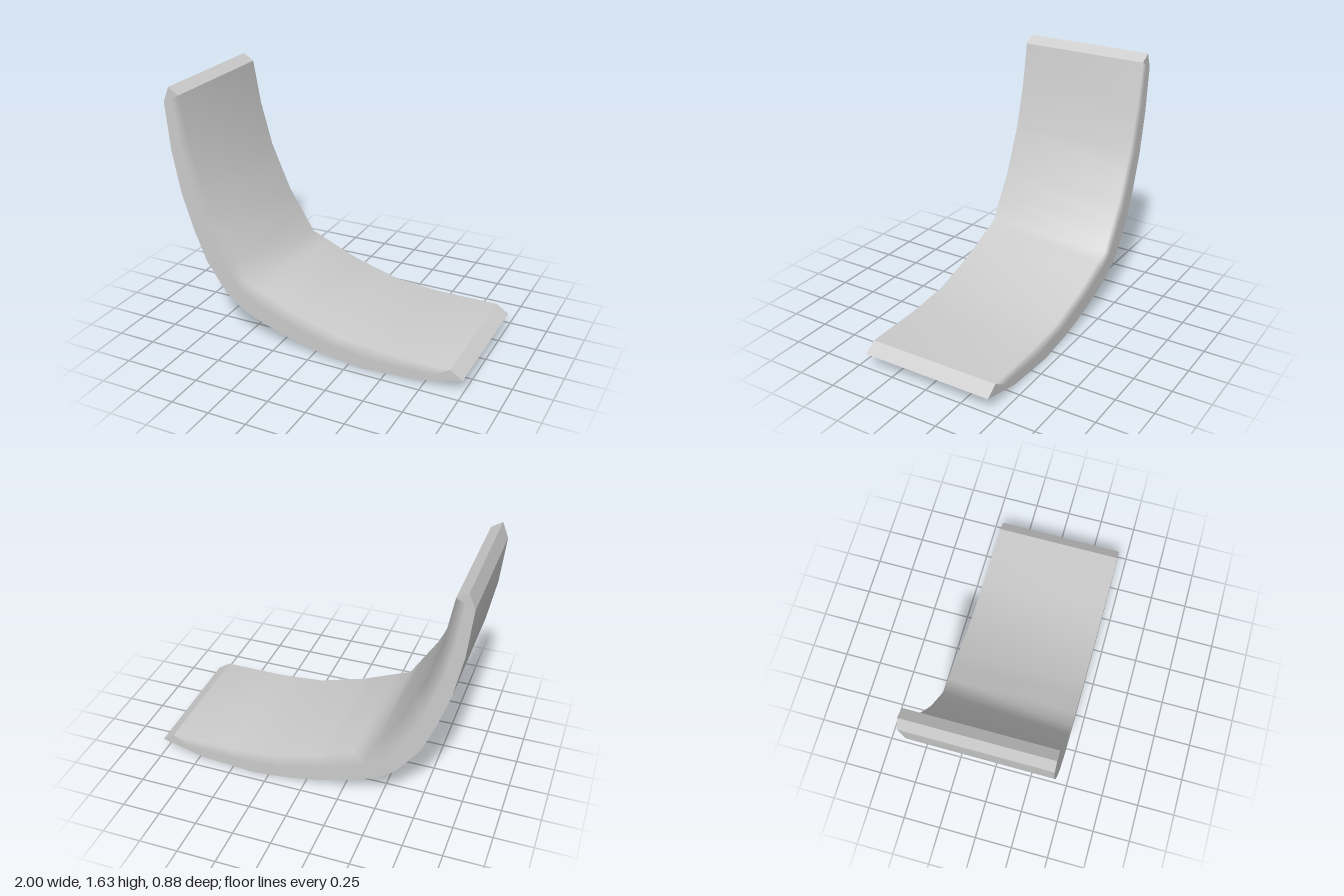
import * as THREE from 'three';

const HALF = 0.44; // half width of the seat
const TOP = [-0.96, 1.63], TIP = [1, 0.1];

// side profile from the top of the back to the front of the seat: [outerX, outerY, innerX, innerY]
const SECTIONS = [
  [-1, 1.53, -0.89, 1.585],
  [-0.97, 1.22, -0.84, 1.3],
  [-0.915, 0.94, -0.76, 1.01],
  [-0.84, 0.71, -0.695, 0.86],
  [-0.755, 0.5, -0.625, 0.7],
  [-0.665, 0.37, -0.535, 0.555],
  [-0.595, 0.28, -0.445, 0.41],
  [-0.475, 0.195, -0.33, 0.362],
  [-0.32, 0.135, -0.22, 0.316],
  [-0.165, 0.085, -0.11, 0.27],
  [0.08, 0.03, 0.2, 0.18],
  [0.34, 0, 0.5, 0.155],
  [0.71, 0.025, 0.92, 0.155],
];

// one cross-section: up one side, across the inside, down the other side
function upperRow([ox, oy, ix, iy]) {
  const mx = (ox + ix) / 2, my = (oy + iy) / 2;
  return [
    [ox, oy, -HALF], [mx, my, -HALF], [ix, iy, -HALF],
    [ix, iy, HALF], [mx, my, HALF], [ox, oy, HALF],
  ];
}

// the underside of a cross-section
const lowerRow = ([ox, oy]) => [[ox, oy, HALF], [ox, oy, -HALF]];

// skin joining successive rows of points
function skin(rows, flat = false) {
  const n = rows[0].length, index = [];
  for (let i = 0; i < rows.length - 1; i++) {
    for (let j = 0; j < n - 1; j++) {
      const a = i * n + j, b = a + n;
      index.push(a, a + 1, b, a + 1, b + 1, b);
    }
  }
  let geo = new THREE.BufferGeometry();
  geo.setAttribute('position', new THREE.Float32BufferAttribute(rows.flat(2), 3));
  geo.setIndex(index);
  if (flat) geo = geo.toNonIndexed();
  geo.computeVertexNormals();
  return geo;
}

export function createModel() {
  const group = new THREE.Group();
  group.name = 'curvedSeat';
  const material = new THREE.MeshStandardMaterial({ color: 0xcccccc });
  const add = (name, geo) => {
    const mesh = new THREE.Mesh(geo, material);
    mesh.name = name;
    group.add(mesh);
  };

  // inner surface with softly shaded sides, and the outer shell
  add('seatAndSides', skin(SECTIONS.map(upperRow)));
  add('outerShell', skin(SECTIONS.map(lowerRow)));

  // wedge-shaped ends
  const top = [...TOP, ...TOP], tip = [...TIP, ...TIP];
  const first = SECTIONS[0], last = SECTIONS[SECTIONS.length - 1];
  for (const [name, pair] of [['topEdge', [top, first]], ['frontEdge', [last, tip]]]) {
    add(name, skin(pair.map(upperRow), true));
    add(name + 'Underside', skin(pair.map(lowerRow), true));
  }
  return group;
}
